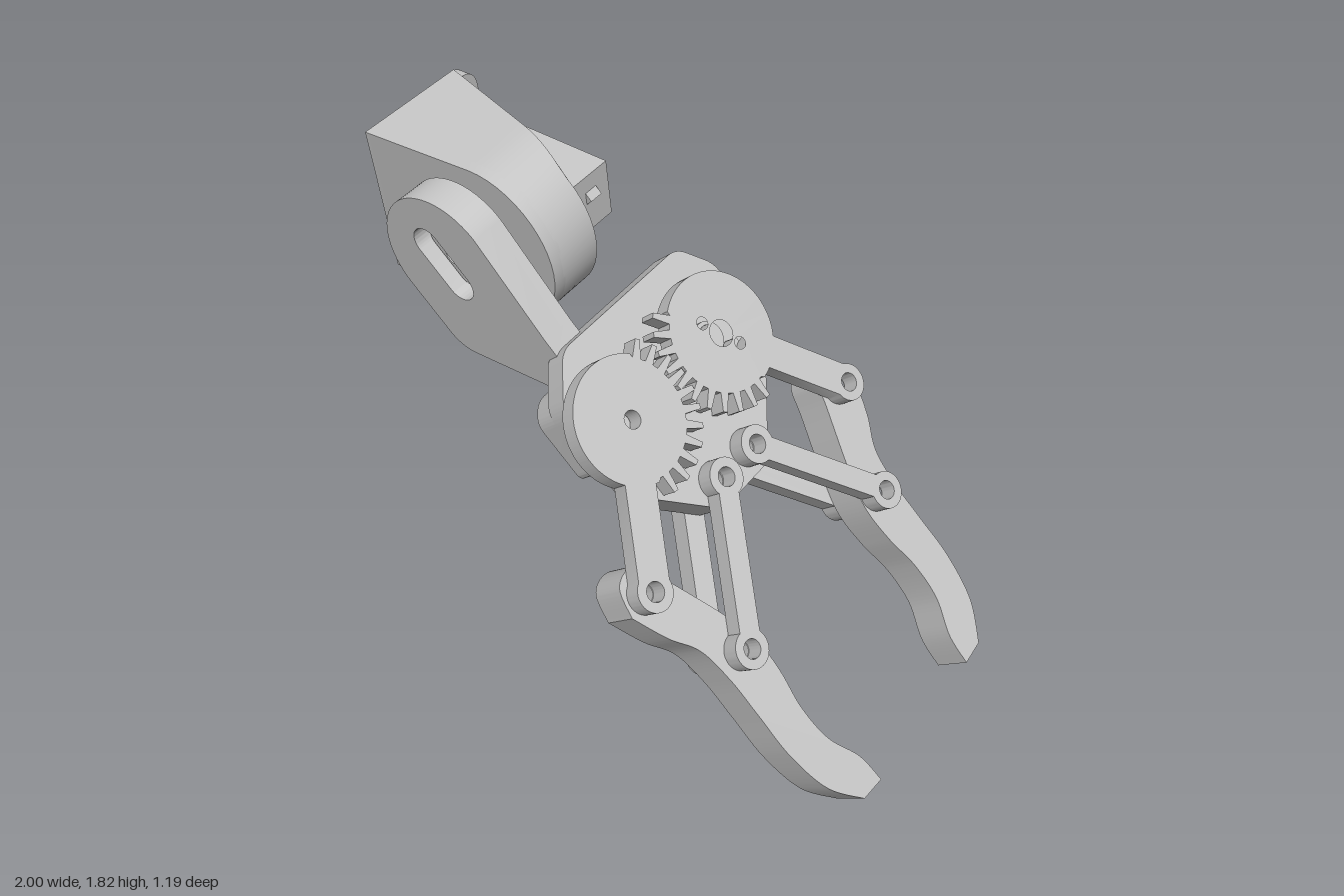
import * as THREE from 'three';
import { toCreasedNormals } from 'three/addons/utils/BufferGeometryUtils.js';

const grey = new THREE.MeshStandardMaterial({ color: 0xc4c4c4 });
grey.name = 'plain grey';

// Tilt of the claw plane and its turn within that plane
const C = 0.621, S = 0.784, CB = 0.968, SB = 0.252;
// Layers along the plane normal
const LOW = 0.635, MID = 0.705, TOP = 0.84, LID = 0.9;
const GEAR_X = 0.218, GEAR_Y = -0.855;

const v2 = (x, y) => new THREE.Vector2(x, y);
const poly = pts => new THREE.Shape(pts.map(p => v2(p[0], p[1])));

function addMesh(parent, name, geometry) {
  const mesh = new THREE.Mesh(geometry, grey);
  mesh.name = name;
  parent.add(mesh);
  return mesh;
}

function slab(shape, from, to) {
  const g = new THREE.ExtrudeGeometry(shape, { depth: to - from, bevelEnabled: false, curveSegments: 20 });
  g.translate(0, 0, from);
  return g;
}
const crease = g => toCreasedNormals(g, 0.6);

function hole(shape, x, y, r) {
  shape.holes.push(new THREE.Path().absarc(x, y, r, 0, Math.PI * 2, true));
}

// Polygon with rounded corners, one radius for all or one for each
function rounded(pts, radius) {
  const s = new THREE.Shape();
  pts.forEach((p, i) => {
    const r = Array.isArray(radius) ? radius[i] : radius;
    const c = v2(...p), a = v2(...pts[(i + pts.length - 1) % pts.length]), b = v2(...pts[(i + 1) % pts.length]);
    const p0 = a.sub(c).setLength(r).add(c), p1 = b.sub(c).setLength(r).add(c);
    if (i) s.lineTo(p0.x, p0.y); else s.moveTo(p0.x, p0.y);
    s.quadraticCurveTo(c.x, c.y, p1.x, p1.y);
  });
  s.closePath();
  return s;
}

// Bar with a round eye at each end, running along x from the origin
function barShape(len, r, half, holeA, holeB) {
  const d = Math.asin(Math.min(1, half / r)), s = new THREE.Shape();
  s.absarc(len, 0, r, -(Math.PI - d), Math.PI - d, false);
  s.absarc(0, 0, r, d, Math.PI * 2 - d, false);
  if (holeA) hole(s, 0, 0, holeA);
  if (holeB) hole(s, len, 0, holeB);
  return s;
}

function barBetween(a, b, r, half, holeA, holeB, from, to) {
  const dx = b[0] - a[0], dy = b[1] - a[1];
  const g = crease(slab(barShape(Math.hypot(dx, dy), r, half, holeA, holeB), from, to));
  return g.rotateZ(Math.atan2(dy, dx)).translate(a[0], a[1], 0);
}

// Disc with teeth on the inner part only
function gearShape(side) {
  const pts = [], count = 26, step = Math.PI * 2 / count, shift = side > 0 ? 0 : 0.5;
  for (let i = 0; i < count; i++) {
    const toothed = i >= 6 && i < 17;
    for (const [f, tip] of [[0, 0], [0.2, 0], [0.36, 1], [0.64, 1], [0.8, 0]]) {
      const a = (i + f - 0.5 + shift) * step, r = toothed ? (tip ? 0.243 : 0.185) : 0.195;
      pts.push([side * r * Math.cos(a), r * Math.sin(a)]);
    }
  }
  const s = poly(pts);
  hole(s, 0, 0, side > 0 ? 0.028 : 0.042);
  if (side < 0) for (const k of [-1, 1]) hole(s, -0.035 * k, 0.062 * k, 0.02);
  return s;
}

function fingerShape(side) {
  const outer = [[0.535, -0.31], [0.478, -0.21], [0.46, -0.08], [0.46, 0.06], [0.46, 0.22], [0.428, 0.38], [0.35, 0.5]];
  const inner = [[0.272, 0.4], [0.32, 0.28], [0.328, 0.15], [0.308, 0.02], [0.306, -0.11],
    [0.345, -0.24], [0.42, -0.43], [0.452, -0.515], [0.506, -0.54], [0.56, -0.515], [0.585, -0.43]];
  const s = new THREE.Shape(), m = p => v2(side * p[0], p[1]);
  s.moveTo(side * 0.585, -0.43);
  s.splineThru(outer.map(m));
  s.lineTo(side * 0.262, 0.507);
  s.splineThru(inner.map(m));
  hole(s, side * 0.506, -0.453, 0.028);
  hole(s, side * 0.372, -0.118, 0.028);
  return s;
}

export function createModel() {
  const root = new THREE.Group();
  root.name = 'robotGripper';
  const arm = new THREE.Group();
  arm.name = 'tiltedArm';
  arm.quaternion.setFromRotationMatrix(new THREE.Matrix4().makeBasis(
    new THREE.Vector3(SB * C, -SB * S, CB), new THREE.Vector3(CB * C, -CB * S, -SB), new THREE.Vector3(S, C, 0)));
  root.add(arm);
  const claw = new THREE.Group();
  claw.name = 'claw';
  claw.position.x = -0.09;
  arm.add(claw);

  // Gears, links and fingers, one set on each side
  for (const s of [1, -1]) {
    const n = s > 0 ? 'left' : 'right';
    const g = [s * GEAR_X, GEAR_Y], p = [s * 0.506, -0.453], a = [s * 0.08, -0.533], b = [s * 0.372, -0.118];
    addMesh(claw, n + 'Gear', slab(gearShape(s), TOP, LID).translate(g[0], g[1], 0));
    const start = [g[0] + s * 0.094, g[1] + 0.128];
    addMesh(claw, n + 'GearLink', barBetween(start, p, 0.06, 0.052, 0, 0.03, TOP, LID));
    addMesh(claw, n + 'UpperLink', barBetween(a, b, 0.06, 0.036, 0.03, 0.03, TOP, LID));
    addMesh(claw, n + 'LowerLink', barBetween(a, b, 0.06, 0.036, 0.03, 0.03, LOW, MID));
    addMesh(claw, n + 'Finger', crease(slab(fingerShape(s), MID, TOP)));
    const axle = new THREE.CylinderGeometry(0.055, 0.055, 0.07, 24).rotateX(Math.PI / 2);
    addMesh(claw, n + 'Axle', axle).position.set(g[0], g[1], 0.8);
  }

  // Palm: lower flange, main plate and raised front tongue
  addMesh(claw, 'palmFlange', crease(slab(rounded(
    [[-0.45, -0.98], [-0.39, -1.03], [0.26, -1.03], [0.31, -0.98], [0.31, -0.76], [-0.42, -0.76]], 0.03), 0.607, 0.69)));
  addMesh(claw, 'palmPlate', crease(slab(rounded(
    [[-0.45, -1.0], [-0.36, -1.12], [0.19, -1.12], [0.31, -0.99], [0.31, -0.75], [-0.42, -0.75]], 0.04), 0.69, 0.78)));
  const tongue = poly([[-0.3, -0.8], [0.3, -0.8], [0.3, -0.64], [0.115, -0.45], [-0.115, -0.45], [-0.3, -0.64]]);
  for (const s of [1, -1]) hole(tongue, s * 0.08, -0.533, 0.028);
  addMesh(claw, 'palmTongue', slab(tongue, MID, TOP - 0.002));

  // Motor under the palm
  addMesh(claw, 'clawMotor', new THREE.BoxGeometry(0.31, 0.2, 0.35)).position.set(-0.178, -0.85, 0.492);
  addMesh(claw, 'clawMotorPlug', new THREE.BoxGeometry(0.03, 0.05, 0.025)).position.set(-0.345, -0.86, 0.42);

  // Parts drawn side-on and extruded across the arm
  const wrist = new THREE.Group();
  wrist.name = 'wrist';
  wrist.quaternion.setFromRotationMatrix(new THREE.Matrix4().makeBasis(
    new THREE.Vector3(0, 1, 0), new THREE.Vector3(0, 0, 1), new THREE.Vector3(1, 0, 0)));
  arm.add(wrist);
  const AX = -1.514, AY = 0.546;

  // Wrist arm with its slot
  const plate = new THREE.Shape();
  plate.absarc(AX - 0.008, AY, 0.221, Math.PI / 2, Math.PI * 1.5, false);
  plate.lineTo(-1.32, 0.325);
  plate.quadraticCurveTo(-1.265, 0.33, -1.225, 0.38);
  plate.lineTo(-1.03, 0.607);
  plate.lineTo(-1.0, 0.61);
  plate.lineTo(-1.0, 0.735);
  plate.lineTo(-1.17, 0.738);
  const slot = new THREE.Path();
  slot.absarc(AX + 0.075, AY, 0.055, -Math.PI / 2, Math.PI / 2, false);
  slot.absarc(AX - 0.075, AY, 0.055, Math.PI / 2, Math.PI * 1.5, false);
  plate.holes.push(slot);
  addMesh(wrist, 'wristArm', crease(slab(plate, -0.015, 0.1)));
  const horn = barShape(0.13, 0.045, 0.045, 0.022, 0.022);
  hole(horn, 0.065, 0, 0.038);
  addMesh(wrist, 'motorHorn', slab(horn, -0.03, 0.05).translate(AX - 0.065, AY, 0));
  const hub = new THREE.CylinderGeometry(0.1, 0.1, 0.055, 28).rotateX(Math.PI / 2);
  addMesh(wrist, 'wristHub', hub).position.set(AX, AY, -0.04);

  // Housing outline, given upright and turned into the wrist's own axes
  const turn = ([x, y]) => [(C * x - S * y + 0.06 * SB) / CB, S * x + C * y];
  const half = (r, top, bottom) => {
    const pts = [], mix = (a, b, t) => [a[0] + (b[0] - a[0]) * t, a[1] + (b[1] - a[1]) * t];
    const end = t => [-0.47 + r * Math.cos(t), 1.475 + r * Math.sin(t)];
    const t0 = 1.52, t1 = -1.63;
    for (let i = 0; i < 8; i++) pts.push(mix(top, end(t0), i / 8));
    for (let i = 0; i <= 24; i++) pts.push(end(t0 + (t1 - t0) * i / 24));
    for (let i = 1; i <= 8; i++) pts.push(mix(end(t1), bottom, i / 8));
    return pts.map(turn);
  };
  const topPt = [-0.885, 1.745], lowPt = [-0.935, 1.235];
  const outer = half(0.263, topPt, lowPt);
  const inner = half(0.213, [-0.885, 1.695], [-0.935, 1.285]);
  addMesh(wrist, 'housingFront', crease(slab(poly(outer), -0.11, -0.06)));

  // Curved wall, its open rim sweeping forward towards the round end
  const wall = slab(poly([...outer, ...inner.reverse()]), -0.5, -0.1);
  const pos = wall.attributes.position;
  for (let i = 0; i < pos.count; i++) {
    if (pos.getZ(i) > -0.3) continue;
    const x = C * (CB * pos.getX(i) - 0.06 * SB) + S * pos.getY(i);
    pos.setZ(i, -0.46 + 0.2 * THREE.MathUtils.clamp((x + 0.885) / 0.6, 0, 1));
  }
  wall.computeVertexNormals();
  addMesh(wrist, 'housingWall', crease(wall));

  // Mounting wall at the back of the housing, with screw holes
  const p0 = turn(lowPt), p1 = turn(topPt);
  const up = new THREE.Vector3(0, p1[0] - p0[0], p1[1] - p0[1]), tall = up.length();
  up.normalize();
  const mount = rounded([[-0.505, 0], [-0.06, 0], [-0.06, tall], [-0.505, tall]], [0.07, 0.005, 0.005, 0.07]);
  hole(mount, -0.28, tall / 2, 0.035);
  for (const k of [-1, 1]) hole(mount, -0.28, tall / 2 + k * 0.08, 0.018);
  const back = addMesh(arm, 'mountingWall', crease(slab(mount, -0.05, 0)));
  const across = new THREE.Vector3(1, 0, 0);
  back.quaternion.setFromRotationMatrix(new THREE.Matrix4().makeBasis(across, up, across.clone().cross(up)));
  back.position.set(0, p0[0], p0[1]);

  // Motor inside the housing
  const motor = [[-0.735, 1.385], [-0.365, 1.35], [-0.345, 1.545], [-0.715, 1.58]].map(turn);
  addMesh(wrist, 'wristMotor', slab(poly(motor), -0.505, -0.08));
  addMesh(wrist, 'wristMotorPlug', new THREE.BoxGeometry(0.04, 0.04, 0.05)).position.set(-1.405, 0.63, -0.42);
  return root;
}
